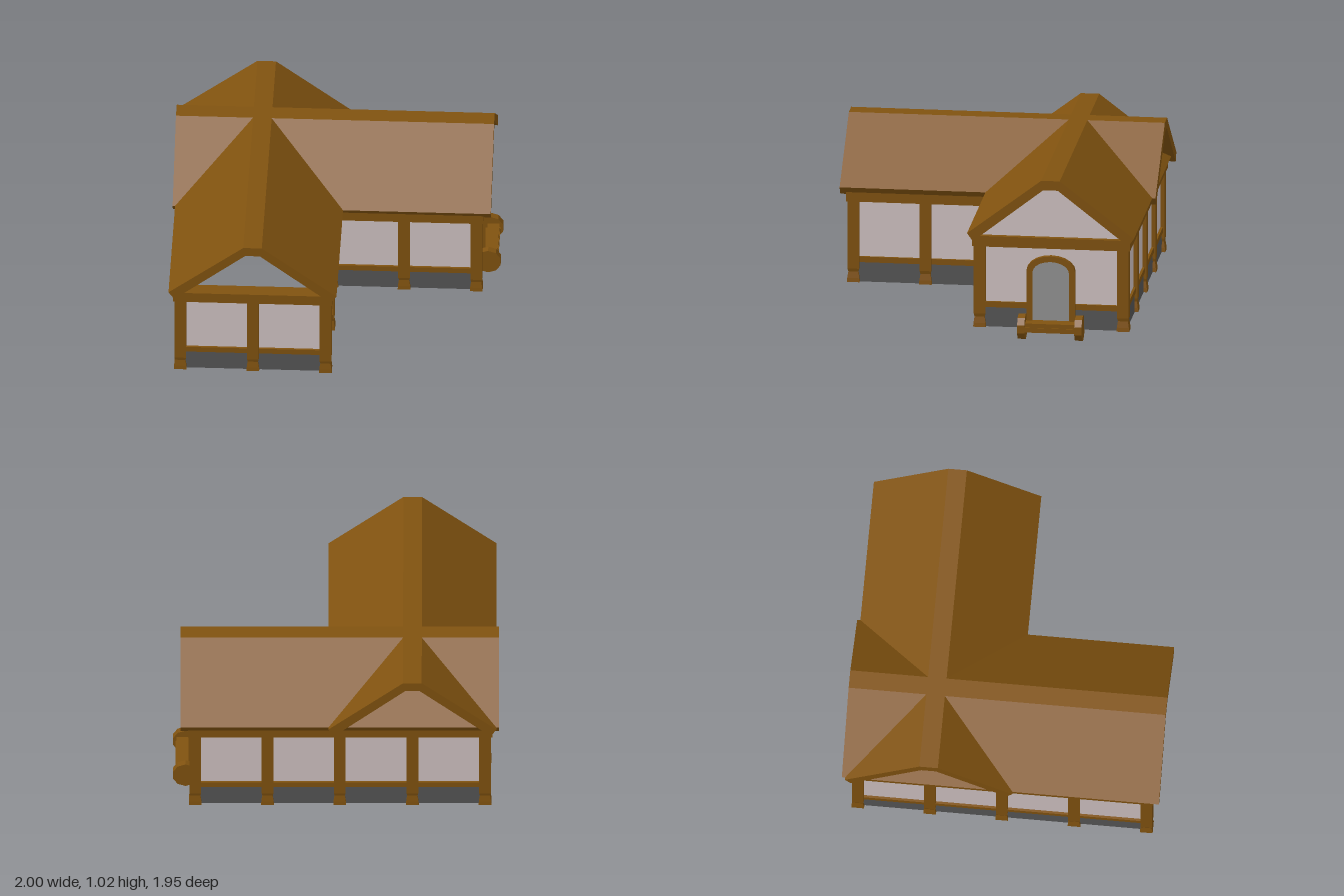
import * as THREE from 'three';

const mat = (color) => new THREE.MeshStandardMaterial({ color, flatShading: true, side: THREE.DoubleSide });

export function createModel() {
  const model = new THREE.Group();
  const wood = mat(0x80520f), plaster = mat(0xcfc2c2), stone = mat(0x555555), doorGrey = mat(0x929292);

  const add = (name, geometry, material, x = 0, y = 0, z = 0, parent = model) => {
    const mesh = new THREE.Mesh(geometry, material);
    mesh.name = name;
    mesh.position.set(x, y, z);
    parent.add(mesh);
    return mesh;
  };
  const shapeOf = (points) => new THREE.Shape(points.map(([x, y]) => new THREE.Vector2(x, y)));

  // Grid lines of the L-shaped plan
  const left = -0.915, inner = -0.025, right = 0.86;
  const back = -0.885, mid = 0, front = 0.89;

  // One straight wall: stone plinth, rail, plaster and top beam
  function wall(name, x0, z0, x1, z1) {
    const g = new THREE.Group();
    g.name = name;
    const length = Math.hypot(x1 - x0, z1 - z0);
    g.position.set((x0 + x1) / 2, 0, (z0 + z1) / 2);
    g.rotation.y = -Math.atan2(z1 - z0, x1 - x0);
    const strip = (part, y0, y1, depth, extra, material) =>
      add(part, new THREE.BoxGeometry(length + extra, y1 - y0, depth), material, 0, (y0 + y1) / 2, 0, g);
    strip('plinth', 0.06, 0.185, 0.035, 0, stone);
    strip('lowerRail', 0.185, 0.22, 0.05, 0, wood);
    strip('plasterPanel', 0.22, 0.58, 0.02, 0, plaster);
    strip('topBeam', 0.575, 0.642, 0.09, 0.09, wood);
    model.add(g);
  }
  wall('backWall', left, back, right, back);
  wall('leftEndWall', left, back, left, front);
  wall('frontWall', left, front, inner, front);
  wall('innerSideWall', inner, mid, inner, front);
  wall('innerFrontWall', inner, mid, right, mid);
  wall('doorWall', right, back, right, mid);

  // Square posts with a waisted foot
  const R = Math.SQRT2;
  const postProfile = [[0.039, 0.06], [0.037, 0.085], [0.031, 0.125], [0.036, 0.145], [0.036, 0.6]]
    .map(([r, y]) => new THREE.Vector2(r * R, y));
  postProfile.unshift(new THREE.Vector2(0, 0.06));
  const postGeometry = new THREE.LatheGeometry(postProfile, 4).rotateY(Math.PI / 4);
  const posts = [
    [left, front], [-0.47, front], [inner, front],
    [left, 0.445], [inner, 0.445],
    [left, mid], [inner, mid], [0.4175, mid], [right, mid],
    [left, -0.4425],
    [left, back], [-0.47, back], [inner, back], [0.4175, back], [right, back],
  ];
  for (const [x, z] of posts) add('post', postGeometry, wood, x, 0, z);

  // Two crossing roofs, each an extruded bent slab with a flat ridge
  const roofShape = shapeOf([
    [-0.515, 0.67], [-0.057, 1.02], [0.057, 1.02], [0.515, 0.67],
    [0.48, 0.62], [0.045, 0.96], [-0.045, 0.96], [-0.48, 0.62],
  ]);
  const roof = (length) =>
    new THREE.ExtrudeGeometry(roofShape, { depth: length, bevelEnabled: false }).translate(0, 0, -length / 2);
  add('frontWingRoof', roof(1.95), wood, -0.47, 0, -0.005);
  add('mainRoof', roof(1.95), wood, -0.025, 0, -0.445).rotation.y = Math.PI / 2;

  // Plaster gable above the door wall
  const gable = shapeOf([[-0.48, 0.63], [-0.045, 0.965], [0.045, 0.965], [0.48, 0.63]]);
  add('gable', new THREE.ExtrudeGeometry(gable, { depth: 0.02, bevelEnabled: false }),
    plaster, 0.85, 0, -0.445).rotation.y = Math.PI / 2;

  // Arched door and its frame
  const arch = (Path, w, y0, spring, rise) => {
    const p = new Path();
    p.moveTo(-w, y0);
    p.lineTo(w, y0);
    p.lineTo(w, spring);
    p.absellipse(0, spring, w, rise, 0, Math.PI, false, 0);
    p.lineTo(-w, y0);
    return p;
  };
  const frame = arch(THREE.Shape, 0.15, 0.06, 0.43, 0.095);
  frame.holes.push(arch(THREE.Path, 0.113, 0.1, 0.42, 0.07));
  const door = new THREE.Group();
  door.name = 'door';
  door.position.set(right, 0, -0.44);
  door.rotation.y = Math.PI / 2;
  const opts = (depth) => ({ depth, bevelEnabled: false, curveSegments: 5 });
  add('doorFrame', new THREE.ExtrudeGeometry(frame, opts(0.042)), wood, 0, 0, 0, door);
  add('doorPanel', new THREE.ExtrudeGeometry(arch(THREE.Shape, 0.12, 0.09, 0.42, 0.075), opts(0.03)),
    doorGrey, 0, 0, 0, door);
  model.add(door);

  // Doorstep carried between two round log ends
  const step = new THREE.Group();
  step.name = 'doorstep';
  add('stepBoard', new THREE.BoxGeometry(0.1, 0.028, 0.36), wood, 0.925, 0.1, -0.442, step);
  add('stepRiser', new THREE.BoxGeometry(0.11, 0.03, 0.36), wood, 0.925, 0.073, -0.442, step);
  const logEnd = new THREE.CylinderGeometry(0.081, 0.081, 0.045, 10).rotateX(Math.PI / 2);
  for (const z of [-0.62, -0.267]) add('logEnd', logEnd, wood, 0.92, 0.081, z, step);
  model.add(step);

  return model;
}
